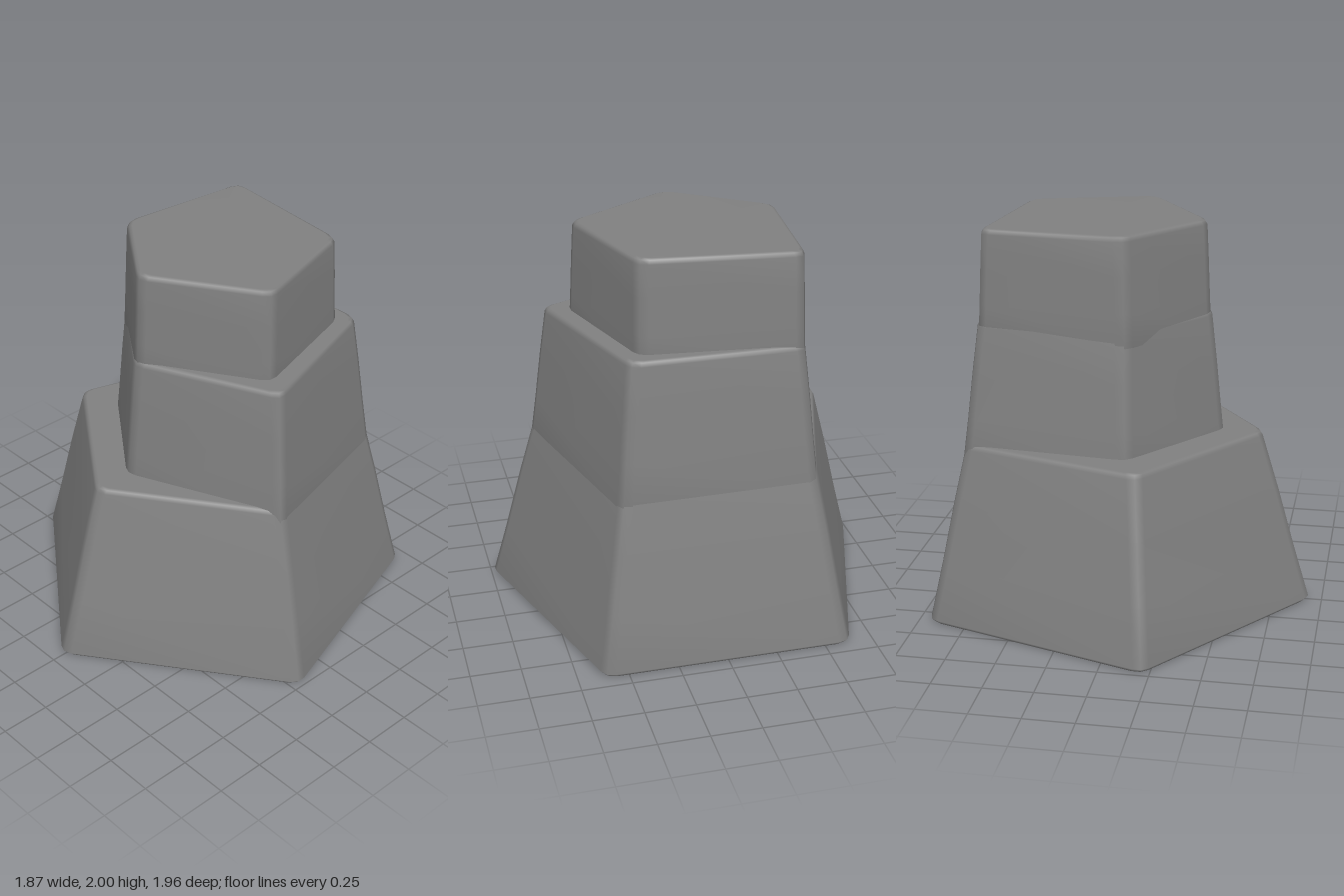
import * as THREE from 'three';

const stone = new THREE.MeshStandardMaterial({ color: 0x808080 });
stone.name = 'grey stone';

// Outline of a five-sided stone with softly rounded corners, shrunk by inset
function ring(corners, y, inset) {
  const pts = corners.map(([x, z]) => new THREE.Vector2(x, z));
  const centre = pts.reduce((s, p) => s.add(p), new THREE.Vector2()).divideScalar(pts.length);
  const out = pts.map((p) => {
    const d = p.clone().sub(centre);
    return centre.clone().add(d.clone().setLength(d.length() + 0.015 - inset));
  });
  const result = [];
  out.forEach((p, i) => {
    const toward = (q) => p.clone().add(q.clone().sub(p).setLength(0.05));
    const a = toward(out[(i + out.length - 1) % out.length]);
    const b = toward(out[(i + 1) % out.length]);
    const mid = p.clone().multiplyScalar(0.5).addScaledVector(a, 0.25).addScaledVector(b, 0.25);
    for (const q of [a, mid, b]) result.push([q.x, y, q.y]);
  });
  return result;
}

// Closed loft between two outlines with bevelled rims
function tier(name, y0, bottom, y1, top) {
  const mix = (t) => bottom.map((p, i) => p.map((v, k) => v + (top[i][k] - v) * t));
  const rings = [ring(bottom, y0, 0.02), ring(bottom, y0 + 0.02, 0)];
  for (const t of [0.33, 0.66]) rings.push(ring(mix(t), y0 + (y1 - y0) * t, 0));
  rings.push(ring(top, y1 - 0.025, 0), ring(top, y1 - 0.006, 0.012), ring(top, y1, 0.03));

  const n = rings[0].length;
  const pos = rings.flat();
  const idx = [];
  for (let r = 0; r < rings.length - 1; r++) {
    for (let j = 0; j < n; j++) {
      const a = r * n + j, b = r * n + (j + 1) % n;
      idx.push(a, a + n, b + n, a, b + n, b);
    }
  }
  // Caps
  const middle = (loop) => [0, 1, 2].map((k) => loop.reduce((s, p) => s + p[k], 0) / n);
  const low = pos.push(middle(rings[0])) - 1;
  const high = pos.push(middle(rings[rings.length - 1])) - 1;
  const last = (rings.length - 1) * n;
  for (let j = 0; j < n; j++) {
    const k = (j + 1) % n;
    idx.push(low, j, k, high, last + k, last + j);
  }
  const geo = new THREE.BufferGeometry();
  geo.setAttribute('position', new THREE.Float32BufferAttribute(pos.flat(), 3));
  geo.setIndex(idx);
  geo.computeVertexNormals();
  const mesh = new THREE.Mesh(geo, stone);
  mesh.name = name;
  return mesh;
}

export function createModel() {
  const group = new THREE.Group();
  group.name = 'steppedRock';
  // Corners as [x, z]: left tip, back, back right, front right, front
  group.add(
    tier('lowerTier',
      0, [[-0.93, 0], [-0.21, -0.98], [0.93, -0.61], [0.93, 0.61], [-0.21, 0.98]],
      0.92, [[-0.67, 0], [-0.14, -0.75], [0.76, -0.47], [0.76, 0.47], [-0.14, 0.75]]),
    // Upper tiers start inside the tier below so the shared corners run on
    tier('middleTier',
      0.8, [[-0.475, 0], [-0.06, -0.56], [0.773, -0.48], [0.773, 0.483], [-0.15, 0.765]],
      1.54, [[-0.4, 0], [-0.04, -0.485], [0.695, -0.42], [0.695, 0.415], [-0.1, 0.68]]),
    tier('upperTier',
      1.44, [[-0.395, 0], [-0.045, -0.49], [0.695, -0.42], [0.615, 0.36], [-0.05, 0.565]],
      2, [[-0.37, 0], [-0.03, -0.47], [0.67, -0.41], [0.59, 0.35], [-0.03, 0.54]]),
  );
  return group;
}
